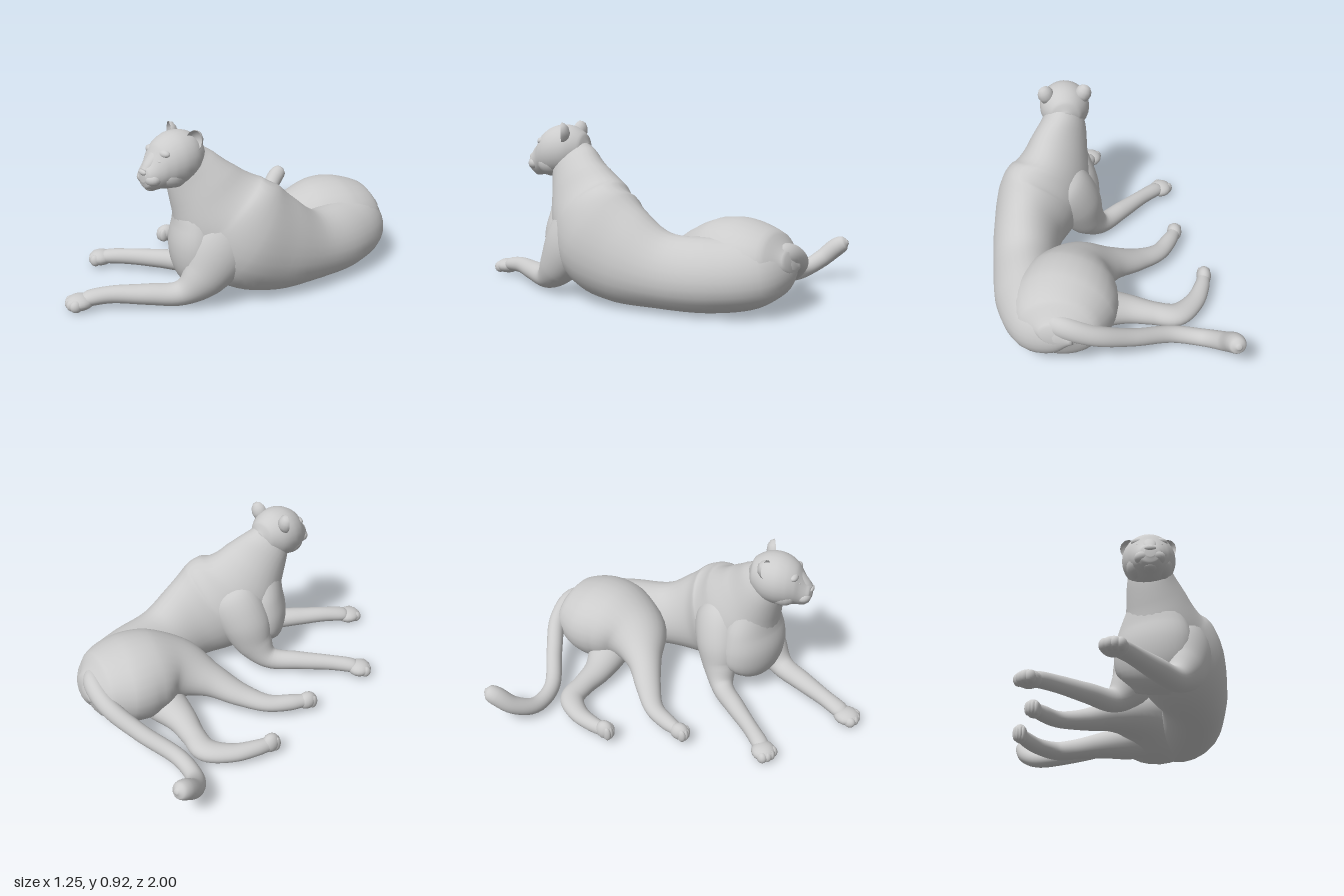
import * as THREE from 'three';

const material = new THREE.MeshStandardMaterial({ color: 0xcccccc, roughness: 0.9 });
const twoSided = new THREE.MeshStandardMaterial({ color: 0xcccccc, roughness: 0.9, side: THREE.DoubleSide });
const UP = [0, 1, 0];
const FLOOR = 0.008;

// Smooth skin over sections [x, y, z, radius along ref, radius across], flattened where it meets the ground.
// egg narrows the ref side of each section; a normal keeps all sections parallel.
function loft(name, sections, ref = UP, { egg = 0, normal = null } = {}) {
  const steps = 6, sides = 28;
  const path = new THREE.CatmullRomCurve3(sections.map(s => new THREE.Vector3(s[0], s[1], s[2])), false, 'centripetal');
  const size = new THREE.SplineCurve(sections.map(s => new THREE.Vector2(s[3], s[4])));
  const rows = (sections.length - 1) * steps;
  const pos = [], index = [];
  const push = p => pos.push(p.x, Math.max(p.y, FLOOR), p.z);
  for (let i = 0; i <= rows; i++) {
    const c = path.getPoint(i / rows), r = size.getPoint(i / rows);
    const t = normal ? new THREE.Vector3(...normal) : path.getTangent(i / rows);
    const a = new THREE.Vector3(...ref);
    a.addScaledVector(t, -a.dot(t)).normalize();
    const b = t.clone().cross(a);
    for (let j = 0; j < sides; j++) {
      const w = j / sides * Math.PI * 2, u = Math.cos(w);
      push(c.clone().addScaledVector(a, u * r.x).addScaledVector(b, Math.sin(w) * r.y * (1 - egg * u)));
    }
  }
  for (let i = 0; i < rows; i++) for (let j = 0; j < sides; j++) {
    const p = i * sides + j, q = i * sides + (j + 1) % sides;
    index.push(p, q, q + sides, p, q + sides, p + sides);
  }
  // End caps
  push(path.getPoint(0));
  push(path.getPoint(1));
  const start = (rows + 1) * sides;
  for (let j = 0; j < sides; j++) {
    const k = (j + 1) % sides, e = rows * sides;
    index.push(start, k, j, start + 1, e + j, e + k);
  }
  const g = new THREE.BufferGeometry();
  g.setAttribute('position', new THREE.Float32BufferAttribute(pos, 3));
  g.setIndex(index);
  g.computeVertexNormals();
  const mesh = new THREE.Mesh(g, material);
  mesh.name = name;
  return mesh;
}

function ball(name, x, y, z, rx, ry, rz) {
  const mesh = new THREE.Mesh(new THREE.SphereGeometry(1, 18, 12), material);
  mesh.position.set(x, y, z);
  mesh.scale.set(rx, ry, rz);
  mesh.name = name;
  return mesh;
}

// Pad with four blunt toes; the heading turns +z to the way the foot points
function paw(name, x, y, z, heading, width, length, height) {
  const g = new THREE.Group();
  g.name = name;
  g.add(ball('pad', 0, 0, 0, width, height, length));
  for (let i = 0; i < 4; i++) {
    const k = (i - 1.5) / 1.5;
    g.add(ball('toe', k * width * 0.56, -height * 0.12, length * (0.6 - 0.15 * k * k), width * 0.4, height * 0.78, length * 0.46));
  }
  g.position.set(x, y, z);
  g.rotation.y = heading;
  return g;
}

function buildHead() {
  const head = new THREE.Group();
  head.name = 'head';
  const X = 0.18;
  head.add(loft('skull', [
    [X, 0.785, 0.29, 0.03, 0.03],
    [X, 0.785, 0.315, 0.085, 0.085],
    [X, 0.778, 0.38, 0.132, 0.13],
    [X, 0.773, 0.45, 0.144, 0.141],
    [X, 0.765, 0.51, 0.134, 0.128],
    [X, 0.752, 0.555, 0.114, 0.104],
    [X, 0.73, 0.582, 0.094, 0.084],
    [X, 0.713, 0.608, 0.072, 0.069],
    [X, 0.71, 0.63, 0.052, 0.054],
    [X, 0.712, 0.641, 0.025, 0.027],
  ], UP, { normal: [0, 0, 1] }));
  head.add(loft('noseBridge', [
    [X, 0.86, 0.53, 0.01, 0.03],
    [X, 0.815, 0.567, 0.018, 0.036],
    [X, 0.77, 0.604, 0.02, 0.034],
    [X, 0.742, 0.63, 0.014, 0.026],
  ], [0, 0, 1]));
  head.add(ball('nose', X, 0.738, 0.637, 0.03, 0.015, 0.013));
  head.add(ball('chin', X, 0.657, 0.592, 0.038, 0.024, 0.032));
  for (const s of [-1, 1]) {
    head.add(ball('muzzlePad', X + s * 0.033, 0.702, 0.598, 0.047, 0.036, 0.043));
    head.add(ball('brow', X + s * 0.056, 0.828, 0.543, 0.04, 0.022, 0.026));
    head.add(ball('eye', X + s * 0.051, 0.793, 0.573, 0.02, 0.011, 0.012));
    head.add(ball('cheek', X + s * 0.06, 0.712, 0.49, 0.06, 0.066, 0.08));
    // Open cup facing forward and outward
    const ear = new THREE.Mesh(new THREE.SphereGeometry(1, 8, 6, Math.PI, Math.PI), twoSided);
    ear.name = 'ear';
    ear.scale.set(0.047, 0.06, 0.045);
    ear.position.set(X + s * 0.105, 0.876, 0.4);
    ear.rotation.set(0, s * 0.35, -s * 0.4);
    head.add(ear);
  }
  return head;
}

export function createModel() {
  const model = new THREE.Group();
  model.name = 'recliningBigCat';

  // One trunk curves from the rump round to the shoulders and up the neck
  model.add(loft('trunk', [
    [0.22, 0.25, -0.88, 0.03, 0.03],
    [0.29, 0.245, -0.83, 0.11, 0.07],
    [0.375, 0.22, -0.71, 0.17, 0.155],
    [0.425, 0.205, -0.5, 0.188, 0.185],
    [0.445, 0.213, -0.25, 0.196, 0.176],
    [0.425, 0.27, -0.04, 0.26, 0.193],
    [0.365, 0.345, 0.11, 0.3, 0.23],
    [0.28, 0.46, 0.215, 0.275, 0.21],
    [0.23, 0.6, 0.3, 0.2, 0.16],
    [0.195, 0.71, 0.36, 0.145, 0.125],
    [0.18, 0.79, 0.41, 0.1, 0.1],
  ], UP, { egg: 0.13 }));
  // Broad chest runs into both upper arms
  model.add(loft('chest', [
    [0.19, 0.68, 0.35, 0.08, 0.07],
    [0.195, 0.56, 0.335, 0.135, 0.105],
    [0.2, 0.43, 0.325, 0.195, 0.13],
    [0.2, 0.3, 0.325, 0.22, 0.15],
    [0.2, 0.18, 0.305, 0.2, 0.135],
    [0.2, 0.1, 0.26, 0.1, 0.07],
  ], [0.85, 0, 0.5]));
  model.add(buildHead());

  // Forelegs: shoulder, elbow, then forearm along the ground
  model.add(loft('leftForeleg', [
    [0.39, 0.55, 0.12, 0.04, 0.06],
    [0.39, 0.46, 0.19, 0.1, 0.15],
    [0.375, 0.31, 0.3, 0.12, 0.165],
    [0.35, 0.17, 0.395, 0.098, 0.118],
    [0.29, 0.085, 0.49, 0.07, 0.066],
    [0.19, 0.08, 0.63, 0.06, 0.054],
    [0.08, 0.082, 0.78, 0.048, 0.045],
    [0.02, 0.068, 0.88, 0.05, 0.04],
    [0, 0.055, 0.92, 0.03, 0.025],
  ], [0.83, 0, 0.55]));
  model.add(paw('leftForepaw', 0, 0.053, 0.923, -0.2, 0.068, 0.073, 0.042));
  model.add(loft('rightForeleg', [
    [0.29, 0.55, 0.08, 0.04, 0.06],
    [0.22, 0.45, 0.11, 0.12, 0.15],
    [0.14, 0.31, 0.14, 0.13, 0.15],
    [0.075, 0.17, 0.165, 0.095, 0.11],
    [-0.005, 0.085, 0.205, 0.062, 0.066],
    [-0.14, 0.08, 0.315, 0.053, 0.053],
    [-0.28, 0.078, 0.435, 0.043, 0.045],
    [-0.38, 0.068, 0.52, 0.045, 0.04],
    [-0.41, 0.055, 0.545, 0.03, 0.025],
  ], [0.68, 0, 0.73]));
  model.add(paw('rightForepaw', -0.415, 0.058, 0.545, -0.6, 0.066, 0.066, 0.044));

  // Upper hind leg: broad haunch narrowing to the hock
  model.add(loft('rightHindLeg', [
    [0.31, 0.28, -0.88, 0.05, 0.08],
    [0.295, 0.265, -0.81, 0.16, 0.205],
    [0.265, 0.245, -0.67, 0.222, 0.272],
    [0.215, 0.242, -0.51, 0.224, 0.262],
    [0.135, 0.225, -0.37, 0.165, 0.195],
    [-0.01, 0.18, -0.27, 0.095, 0.105],
    [-0.17, 0.125, -0.19, 0.06, 0.072],
    [-0.31, 0.095, -0.105, 0.045, 0.053],
    [-0.39, 0.09, 0, 0.044, 0.045],
    [-0.43, 0.09, 0.07, 0.035, 0.035],
  ]));
  model.add(paw('rightHindPaw', -0.432, 0.085, 0.08, -0.2, 0.043, 0.056, 0.05));
  // Lower hind leg comes out from under the haunch
  model.add(loft('leftHindLeg', [
    [0.25, 0.13, -0.55, 0.09, 0.13],
    [0.08, 0.11, -0.53, 0.1, 0.12],
    [-0.08, 0.09, -0.535, 0.075, 0.085],
    [-0.22, 0.08, -0.57, 0.06, 0.065],
    [-0.34, 0.075, -0.59, 0.053, 0.068],
    [-0.45, 0.075, -0.505, 0.045, 0.054],
    [-0.515, 0.08, -0.39, 0.043, 0.042],
    [-0.54, 0.08, -0.31, 0.04, 0.035],
  ]));
  model.add(paw('leftHindPaw', -0.54, 0.085, -0.312, -0.1, 0.04, 0.052, 0.056));

  // Tail sweeps along the ground and lifts at the tip
  model.add(loft('tail', [
    [0.38, 0.28, -0.74, 0.05, 0.05],
    [0.28, 0.3, -0.835, 0.065, 0.055],
    [0.12, 0.25, -0.865, 0.055, 0.05],
    [-0.08, 0.16, -0.81, 0.046, 0.046],
    [-0.3, 0.085, -0.735, 0.045, 0.045],
    [-0.46, 0.075, -0.765, 0.046, 0.046],
    [-0.55, 0.13, -0.85, 0.05, 0.05],
    [-0.58, 0.2, -0.93, 0.052, 0.052],
    [-0.585, 0.222, -0.97, 0.042, 0.042],
    [-0.587, 0.23, -0.992, 0.012, 0.012],
  ]));
  return model;
}
